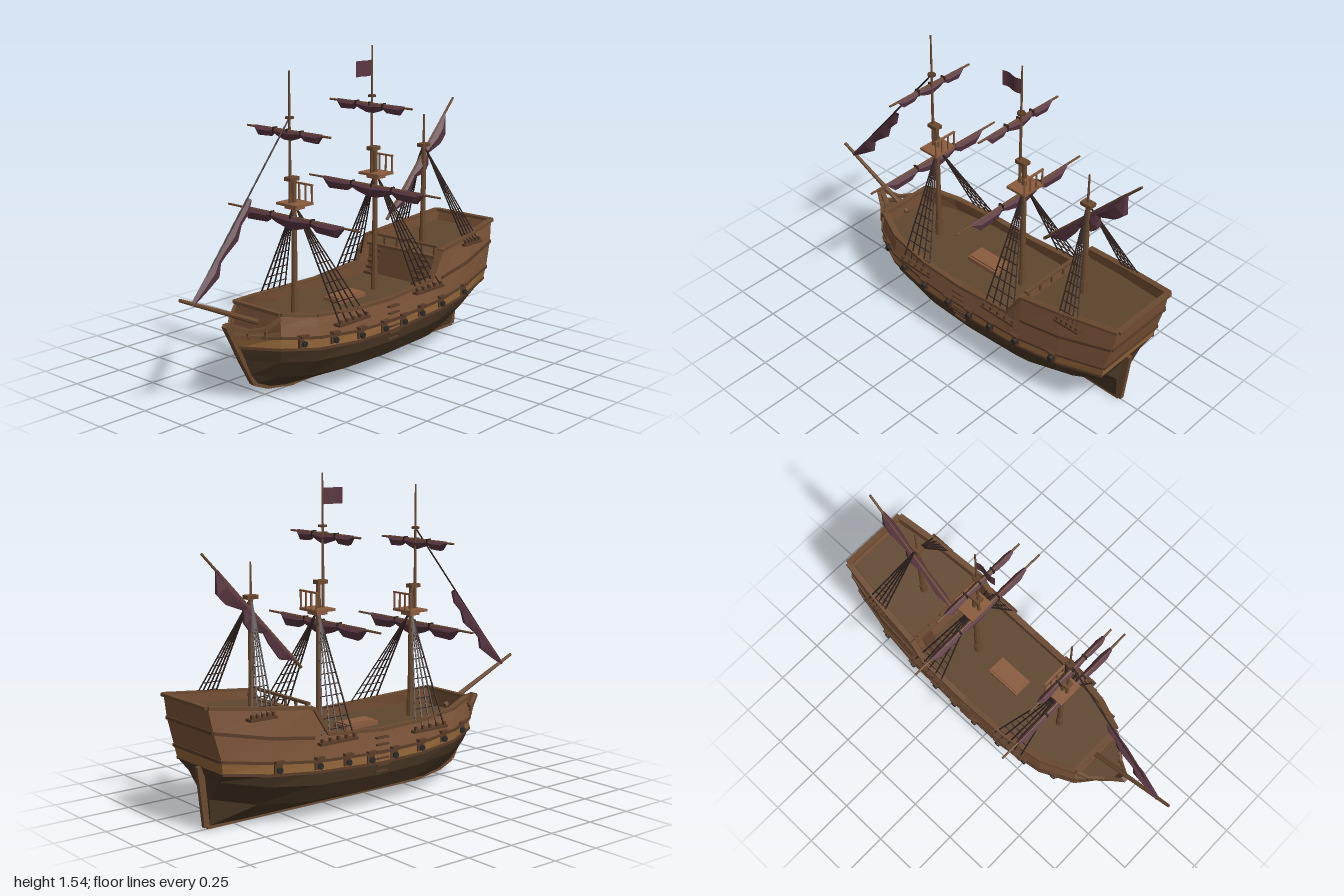
import * as THREE from 'three';
import { mergeGeometries } from 'three/addons/utils/BufferGeometryUtils.js';

const HULL = 0x4b3826, WALE = 0x95683a, WALL = 0x7c5438, DECK = 0x60472f, TRIM = 0x5a3c28,
  WOOD = 0x6b4a30, PANEL = 0x8a5c3e, SAIL = 0x5a3742, ROPE = 0x30231f, IRON = 0x2c2a28;
const V = (x, y, z) => new THREE.Vector3(x, y, z);

// Hull lines from stern to bow, each point [z, half width, y]
const zs = (stern, bow, xs, ys, last = 0.55) =>
  [stern, -0.7, -0.48, -0.4, -0.1, 0.15, 0.38, last, bow].map((z, i) => [z, xs[i], ys[i]]);
const keel = zs(-0.88, 0.56, Array(9).fill(0.012), [0.015, 0.01, 0.01, 0.01, 0.01, 0.01, 0.015, 0.035, 0.07], 0.48);
const bilge = zs(-0.89, 0.6, [0.03, 0.12, 0.18, 0.19, 0.2, 0.19, 0.14, 0.08, 0.012],
  [0.14, 0.1, 0.085, 0.085, 0.08, 0.08, 0.09, 0.1, 0.12], 0.5);
const water = zs(-0.9, 0.635, [0.12, 0.21, 0.24, 0.245, 0.25, 0.245, 0.205, 0.13, 0.012],
  [0.24, 0.2, 0.175, 0.17, 0.16, 0.165, 0.175, 0.19, 0.2], 0.53);
const waleLow = zs(-0.92, 0.67, [0.185, 0.235, 0.258, 0.26, 0.262, 0.26, 0.23, 0.155, 0.012],
  [0.29, 0.26, 0.24, 0.235, 0.22, 0.225, 0.24, 0.26, 0.27]);
const waleTop = zs(-0.93, 0.7, [0.195, 0.24, 0.26, 0.262, 0.265, 0.26, 0.235, 0.16, 0.012],
  [0.35, 0.315, 0.29, 0.285, 0.27, 0.275, 0.295, 0.315, 0.325]);
const strake = zs(-0.965, 0.7, [0.19, 0.235, 0.25, 0.254, 0.256, 0.252, 0.225, 0.152, 0],
  [0.48, 0.425, 0.395, 0.34, 0.32, 0.325, 0.345, 0.365, 0], 0.545).slice(0, 8);
const rail = zs(-0.985, 0.7, [0.18, 0.22, 0.24, 0.245, 0.247, 0.243, 0.212, 0.145, 0],
  [0.59, 0.555, 0.53, 0.4, 0.375, 0.38, 0.395, 0.42, 0], 0.54).slice(0, 8);
const inset = (row, d, y) => row.map(([z, x, h]) => [z, x - d, y ?? h]);
const widthAt = (row, z) => {
  const i = Math.max(1, row.findIndex(p => p[0] >= z));
  const [a, b] = [row[i - 1], row[i]];
  return THREE.MathUtils.lerp(a[1], b[1], (z - a[0]) / (b[0] - a[0]));
};

// Flat quads, given as four corners each
function quads(list) {
  const g = new THREE.BufferGeometry();
  const pos = list.flatMap(([a, b, c, d]) => [a, b, c, a, c, d].flatMap(p => p.toArray()));
  g.setAttribute('position', new THREE.Float32BufferAttribute(pos, 3));
  g.computeVertexNormals();
  return g;
}
const at = (p, s) => V(p[1] * s, p[2], p[0]);
// Surface between successive hull lines on both sides
const skin = (...rows) => quads([1, -1].flatMap(s => rows.slice(1).flatMap((r, k) =>
  r.slice(1).map((p, i) => {
    const q = [at(rows[k][i], s), at(rows[k][i + 1], s), at(p, s), at(r[i], s)];
    return s > 0 ? q.reverse() : q;
  }))));
// Surface across the ship along one line
const across = row => quads(row.slice(1).map((p, i) => [at(row[i], 1), at(row[i], -1), at(p, -1), at(p, 1)]));

// Rectangular beam between two points
function beam(a, b, w, h = w) {
  const m = new THREE.Object3D();
  m.position.copy(a).lerp(b, 0.5);
  m.lookAt(b);
  m.updateMatrix();
  return new THREE.BoxGeometry(w, h, a.distanceTo(b)).applyMatrix4(m.matrix);
}
const chain = (pts, w, h) => pts.slice(1).map((p, i) => beam(pts[i], p, w, h));
const both = (row, w, h) => [1, -1].flatMap(s => chain(row.map(p => at(p, s)), w, h));
// Round tapered spar between two points
function spar(a, b, r0, r1 = r0, n = 8) {
  const d = b.clone().sub(a);
  const q = new THREE.Quaternion().setFromUnitVectors(V(0, 1, 0), d.clone().normalize());
  return new THREE.CylinderGeometry(r1, r0, d.length(), n).applyQuaternion(q)
    .translate(...a.clone().lerp(b, 0.5).toArray());
}
const box = (w, h, d, x, y, z) => new THREE.BoxGeometry(w, h, d).translate(x, y, z);

// Furled sail: hangs from a to b with gathered bunches; stops are [t, drop]
function furled(a, b, down, stops) {
  const side = b.clone().sub(a).normalize().cross(down).normalize();
  const rings = stops.map(([t, d]) => {
    const p = a.clone().lerp(b, t), w = 0.008 + d * 0.22;
    return [[0.008, 0], [-0.3 * d, w], [-d, w * 0.5], [-d * 0.9, -w * 0.6], [-0.25 * d, -w]]
      .map(([u, v]) => p.clone().addScaledVector(down, -u).addScaledVector(side, v));
  });
  return quads(rings.slice(1).flatMap((r, i) => r.map((p, k) => {
    const n = (k + 1) % 5;
    return [rings[i][k], p, r[n], rings[i][n]];
  })));
}

export function createModel() {
  const ship = new THREE.Group();
  ship.name = 'sailingShip';
  const add = (name, color, geos, double = false) => {
    const list = [geos].flat(3).map(g => {
      const n = g.index ? g.toNonIndexed() : g;
      n.deleteAttribute('uv');
      return n;
    });
    const mat = new THREE.MeshStandardMaterial({ color, flatShading: true });
    if (double) mat.side = THREE.DoubleSide;
    const mesh = new THREE.Mesh(mergeGeometries(list), mat);
    mesh.name = name;
    ship.add(mesh);
  };

  // Hull
  const lower = [keel, bilge, water, waleLow];
  add('lowerHull', HULL, [skin(...lower), across(lower.map(r => r[0])), across(keel)], true);
  add('wale', WALE, [skin(waleLow, waleTop), across([waleLow[0], waleTop[0]])], true);
  const upper = [waleTop.slice(0, 8), strake, rail];
  add('bulwarks', WALL, [skin(...upper), skin(...upper.map(r => inset(r, 0.018))),
    across(upper.map(r => r[0])), across(upper.map(r => r[7])),
    box(0.45, 0.19, 0.012, 0, 0.4, -0.485)], true);
  add('hullTrim', TRIM, [both(waleLow, 0.012), both(waleTop, 0.012), both(strake.slice(0, 3), 0.014),
    beam(at(strake[0], 1), at(strake[0], -1), 0.014), beam(at(waleTop[0], 1), at(waleTop[0], -1), 0.014)]);
  add('railCap', WOOD, [both(rail, 0.03, 0.014), beam(at(rail[0], 1), at(rail[0], -1), 0.03, 0.014),
    beam(at(rail[7], 1), at(rail[7], -1), 0.024, 0.016)]);
  add('decks', DECK, [across(waleTop), across(inset(rail.slice(2), 0.01, 0.335)),
    across([[-0.975, 0.178, 0.535], [-0.7, 0.215, 0.51], [-0.48, 0.235, 0.49]])], true);
  add('sternPostAndKeel', WOOD, [box(0.024, 0.014, 1.22, 0, 0.007, -0.28),
    chain([V(0, 0.012, 0.32), V(0, 0.04, 0.49), V(0, 0.075, 0.57), V(0, 0.2, 0.64), V(0, 0.3, 0.69), V(0, 0.385, 0.735)], 0.028, 0.03),
    quads([]).copy(beam(V(0, 0.01, -0.885), V(0, 0.29, -0.915), 0.022, 0.045))]);

  // Beakhead rails sweeping to the stem
  add('beakRails', WOOD, [1, -1].map(s => [
    chain([V(s * 0.145, 0.4, 0.54), V(s * 0.115, 0.36, 0.6), V(s * 0.06, 0.35, 0.66), V(s * 0.012, 0.38, 0.735)], 0.014, 0.018),
    chain([V(s * 0.155, 0.33, 0.55), V(s * 0.09, 0.32, 0.62), V(s * 0.012, 0.33, 0.71)], 0.014, 0.018),
    beam(V(s * 0.115, 0.315, 0.6), V(s * 0.115, 0.36, 0.6), 0.012),
    beam(V(s * 0.06, 0.315, 0.655), V(s * 0.06, 0.35, 0.66), 0.012)]));

  // Deck fittings
  add('hatch', PANEL, [box(0.1, 0.02, 0.19, 0, 0.345, -0.045), box(0.08, 0.008, 0.17, 0, 0.358, -0.045)]);
  add('poopRailing', WOOD, [box(0.44, 0.012, 0.016, 0, 0.545, -0.485), box(0.46, 0.014, 0.03, 0, 0.492, -0.48),
    [-0.2, -0.12, -0.04, 0.04, 0.12, 0.2].map(x => box(0.01, 0.05, 0.01, x, 0.52, -0.485))]);
  add('deckStairs', TRIM, [1, -1].map(s => [0, 1, 2, 3, 4].map(i =>
    box(0.06, 0.012, 0.022, s * 0.155, 0.36 + i * 0.027, -0.405 - i * 0.015))));
  add('boardingSteps', TRIM, [1, -1].map(s => [0, 1, 2, 3, 4, 5].map(i =>
    box(0.022, 0.007, 0.07, s * (i < 1 ? 0.253 : 0.262), 0.18 + i * 0.032, -0.1))));

  // Guns and their port lids
  const guns = [[0.455, 0.28], [0.295, 0.27], [0.135, 0.257], [-0.03, 0.25], [-0.17, 0.25], [-0.305, 0.262], [-0.465, 0.272], [-0.67, 0.285]];
  const eachGun = f => [1, -1].flatMap(s => guns.map(([z, y]) => f(s, widthAt(waleLow, z), y, z)));
  add('gunPortLids', TRIM, eachGun((s, x, y, z) => [box(0.03, 0.01, 0.046, s * (x + 0.008), y + 0.033, z),
    box(0.014, 0.05, 0.042, s * x, y + 0.005, z)]));
  add('cannons', IRON, eachGun((s, x, y, z) => [spar(V(s * (x - 0.02), y, z), V(s * (x + 0.022), y - 0.004, z), 0.013, 0.011),
    spar(V(s * (x + 0.014), y - 0.004, z), V(s * (x + 0.022), y - 0.004, z), 0.015)]));

  // Masts, bowsprit and fighting tops
  const flange = (y, z, r = 0.02) => spar(V(0, y - 0.005, z), V(0, y + 0.005, z), r);
  const stepped = (name, z, top, zTop, peak, foot) => add(name, WOOD, [
    spar(V(0, foot, z), V(0, top, z), 0.015, 0.011), spar(V(0, foot, z), V(0, foot + 0.09, z), 0.018),
    spar(V(0, top - 0.13, zTop), V(0, peak, zTop), 0.008, 0.004), box(0.04, 0.018, 0.058, 0, top - 0.01, (z + zTop) / 2)]);
  stepped('foreMast', 0.3, 0.99, 0.325, 1.47, 0.33);
  stepped('mainMast', -0.265, 1.055, -0.238, 1.54, 0.33);
  stepped('mizzenMast', -0.64, 1.02, -0.637, 1.165, 0.49);
  add('mastRings', TRIM, [flange(1.26, 0.325), flange(1.3, -0.238), flange(1.01, -0.638, 0.026)]);
  add('bowsprit', WOOD, spar(V(0, 0.35, 0.53), V(0, 0.558, 0.995), 0.014, 0.008));
  for (const [name, y, z] of [['foreTop', 0.862, 0.295], ['mainTop', 0.92, -0.27]]) {
    add(name, PANEL, [box(0.13, 0.012, 0.11, 0, y, z), box(0.07, 0.02, 0.06, 0, y - 0.014, z),
      [-0.06, -0.02, 0.02, 0.06].map(x => box(0.007, 0.085, 0.007, x, y + 0.045, z - 0.05)),
      box(0.13, 0.008, 0.01, 0, y + 0.085, z - 0.05)]);
  }

  // Square yards with furled sails
  const bunches = [[0, 0.006], [0.07, 0.052], [0.24, 0.048], [0.3, 0.024], [0.36, 0.04], [0.47, 0.058],
    [0.53, 0.058], [0.64, 0.04], [0.7, 0.024], [0.76, 0.048], [0.93, 0.052], [1, 0.006]];
  for (const [name, y, z, half, w] of [['foreCourse', 0.8, 0.315, 0.42, 0.32], ['mainCourse', 0.86, -0.243, 0.42, 0.32],
    ['foreTopsail', 1.2, 0.335, 0.26, 0.21], ['mainTopsail', 1.262, -0.225, 0.26, 0.21]]) {
    add(name + 'Yard', WOOD, [1, -1].map(s => spar(V(0, y, z), V(s * half, y, z), 0.008, 0.005)));
    add(name + 'Sail', SAIL, furled(V(-w, y, z), V(w, y, z), V(0, -1, 0),
      bunches.map(([t, d]) => [t, d * (w > 0.3 ? 1 : 0.75)])), true);
    add(name + 'Ties', ROPE, [0.3, 0.7, 0.5].map(t => box(0.008, 0.03, 0.026, (t * 2 - 1) * w, y - 0.004, z)));
  }

  // Lateen yard and sail
  const la = V(-0.02, 0.665, -0.38), lb = V(-0.02, 1.22, -0.9);
  add('lateenYard', WOOD, spar(la, lb, 0.008, 0.006));
  add('lateenSail', SAIL, furled(la, lb, V(0, -0.68, -0.73),
    [[0.07, 0.005], [0.16, 0.055], [0.28, 0.045], [0.36, 0.03], [0.44, 0.075], [0.5, 0.07], [0.56, 0.03],
      [0.68, 0.075], [0.76, 0.075], [0.86, 0.005]]), true);

  // Forestay with furled jib
  const tack = V(0, 0.52, 0.93);
  add('forestay', ROPE, spar(tack, V(0, 1.26, 0.325), 0.004, 0.004, 5));
  add('jib', SAIL, furled(tack, V(0, 0.93, 0.58), V(0, -0.65, -0.76),
    [[0, 0.008], [0.15, 0.035], [0.32, 0.06], [0.42, 0.03], [0.5, 0.035], [0.66, 0.055], [0.78, 0.03], [0.9, 0.035], [1, 0.012]]), true);

  // Shrouds, ratlines and channel boards
  for (const [name, my, mz, y, x, z0, z1] of [['fore', 0.84, 0.295, 0.335, 0.268, 0.28, 0.1],
    ['main', 0.9, -0.27, 0.365, 0.27, -0.27, -0.45], ['mizzen', 0.99, -0.64, 0.52, 0.238, -0.69, -0.8]]) {
    const ropes = [], boards = [];
    for (const s of [1, -1]) {
      const head = V(s * 0.012, my, mz);
      const feet = [0, 1, 2, 3, 4].map(i => V(s * x, y, z0 + (z1 - z0) * i / 4));
      feet.forEach((f, i) => {
        ropes.push(beam(f, head, 0.0055));
        boards.push(box(0.014, 0.022, 0.012, f.x, y + 0.012, f.z));
        if (i) for (let t = 0.1; t < 0.85; t += 0.085)
          ropes.push(beam(feet[i - 1].clone().lerp(head, t), f.clone().lerp(head, t), 0.0035));
      });
      boards.push(box(0.04, 0.012, Math.abs(z1 - z0) + 0.03, s * (x - 0.008), y, (z0 + z1) / 2));
    }
    add(name + 'Shrouds', ROPE, ropes);
    add(name + 'Channels', TRIM, boards);
  }

  // Plain flag, rippled along its length
  const flag = new THREE.PlaneGeometry(0.11, 0.075, 6, 1).rotateY(-Math.PI / 2);
  const p = flag.attributes.position;
  for (let i = 0; i < p.count; i++) p.setX(i, 0.006 * Math.sin((p.getZ(i) + 0.055) * 57));
  add('flag', SAIL, flag.translate(0, 1.435, -0.178), true);
  return ship;
}
